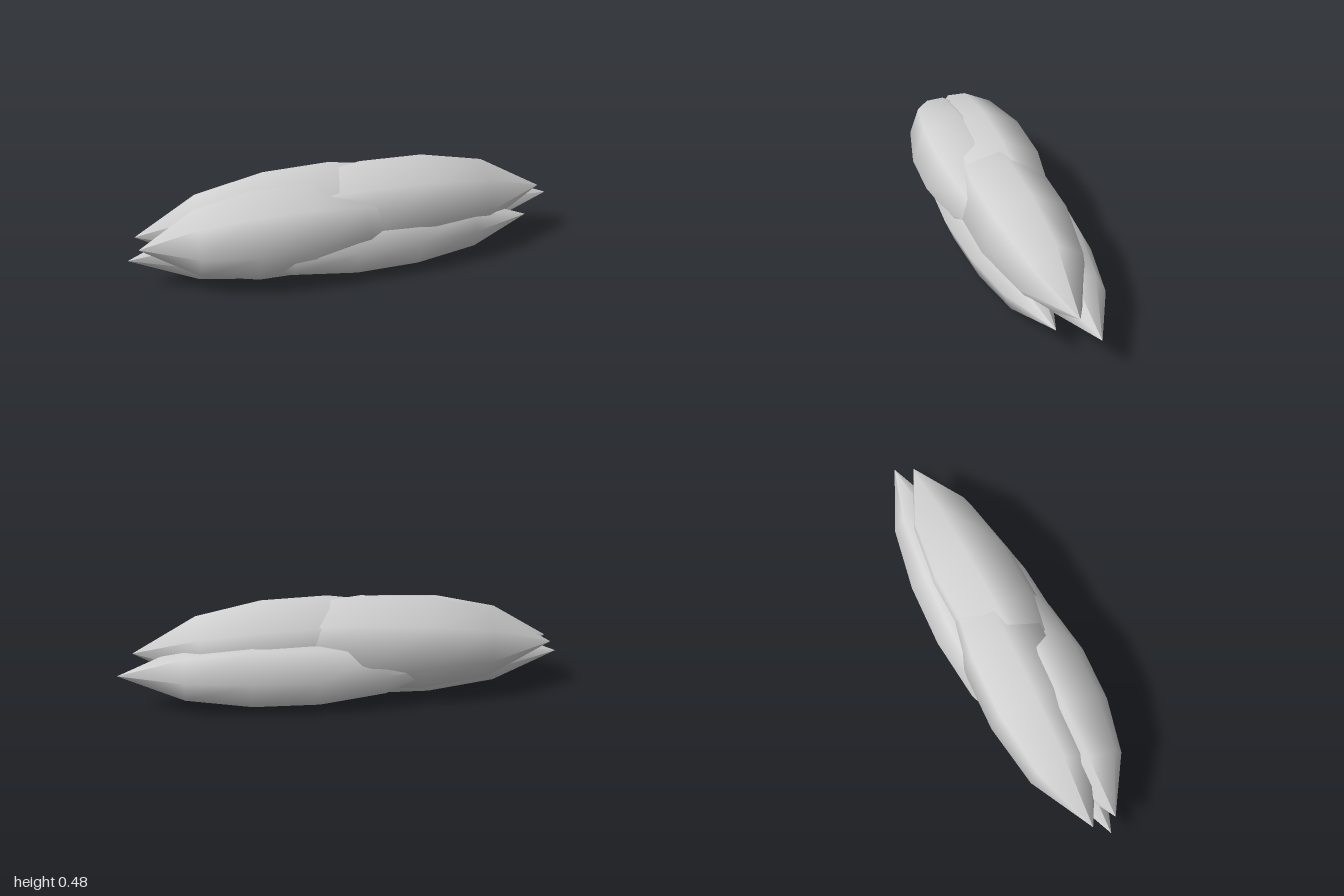
import * as THREE from 'three';

// One seven-sided spindle, pointed at both ends, aimed from its centre to its outer tip.
// roll is the angle in degrees of one corner, measured from +z towards +y.
function makeSpindle(name, centre, tip, radius, roll, material) {
  const mid = new THREE.Vector3(...centre);
  const axis = new THREE.Vector3(...tip).sub(mid);
  const half = axis.length();
  const profile = [[0, -1], [0.75, -0.6], [1, -0.2], [1, 0.2], [0.75, 0.6], [0, 1]]
    .map(([r, t]) => new THREE.Vector2(r * radius, t * half));
  const start = -Math.sign(axis.x) * THREE.MathUtils.degToRad(roll);
  const mesh = new THREE.Mesh(new THREE.LatheGeometry(profile, 7, start), material);
  mesh.name = name;
  mesh.position.copy(mid);
  mesh.quaternion.setFromUnitVectors(new THREE.Vector3(0, 1, 0), axis.normalize());
  return mesh;
}

export function createModel() {
  const group = new THREE.Group();
  group.name = 'spindleCluster';
  const grey = new THREE.MeshStandardMaterial({ color: 0xd2d2d2 });
  grey.name = 'lightGrey';

  // name, centre, outer tip, radius, roll
  const spindles = [
    // three pointing to +x
    ['leftUpperSpindle', [0.2, 0.256, 0], [0.925, 0.24, -0.02], 0.212, -10],
    ['leftBackSpindle', [0.26, 0.165, -0.115], [0.995, 0.165, -0.09], 0.163, 181],
    ['leftFrontSpindle', [0.12, 0.143, 0.105], [0.84, 0.135, 0.05], 0.146, 0],
    // three pointing to -x
    ['rightFrontSpindle', [-0.33, 0.225, 0.082], [-0.955, 0.205, 0.06], 0.2, -8],
    ['rightBackSpindle', [-0.22, 0.252, -0.035], [-0.955, 0.215, -0.05], 0.214, -13],
    ['rightLowerSpindle', [-0.25, 0.15, 0.02], [-1, 0.14, 0.02], 0.163, -13],
  ];
  for (const [name, centre, tip, radius, roll] of spindles) {
    group.add(makeSpindle(name, centre, tip, radius, roll, grey));
  }
  return group;
}
